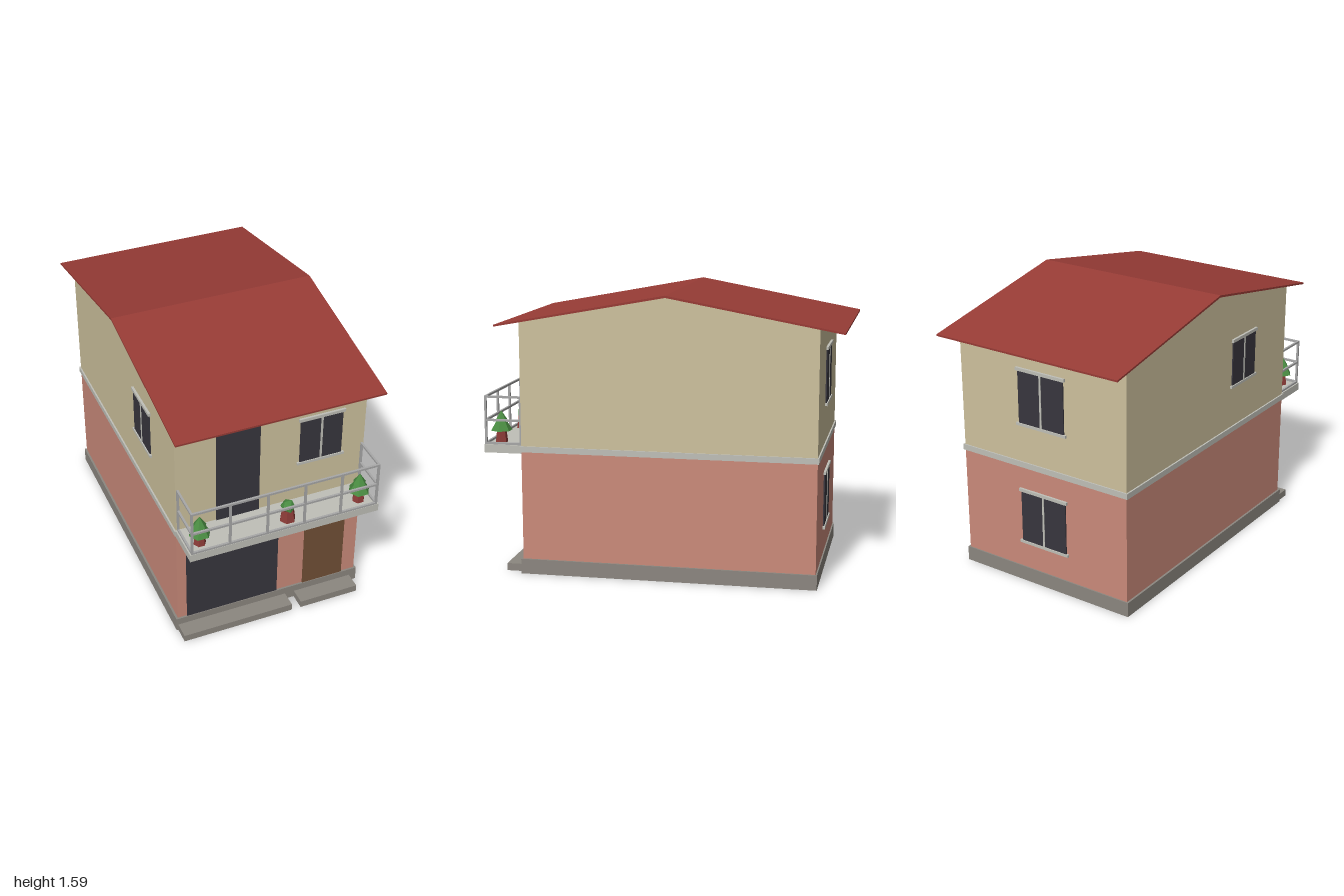
import * as THREE from 'three';

const mat = (name, color) => {
  const m = new THREE.MeshStandardMaterial({ color });
  m.name = name;
  return m;
};

export function createModel() {
  const house = new THREE.Group();
  house.name = 'house';

  const salmon = mat('salmon wall', 0xcb8b7b);
  const cream = mat('cream wall', 0xcec29e);
  const roofRed = mat('roof red', 0x983c36);
  const trim = mat('pale trim', 0xc0c0b8);
  const stone = mat('stone grey', 0x8c8780);
  const glass = mat('dark glass', 0x38363e);
  const wood = mat('door wood', 0x725036);
  const leaf = mat('leaf green', 0x4a8c42);
  const clay = mat('clay pot', 0x8e3c38);
  const metal = mat('rail metal', 0xa8a8a8);
  leaf.flatShading = clay.flatShading = true;

  const add = (parent, name, geo, material, x = 0, y = 0, z = 0) => {
    const m = new THREE.Mesh(geo, material);
    m.name = name;
    m.position.set(x, y, z);
    parent.add(m);
    return m;
  };
  // Box given by its lower and upper corner
  const box = (parent, name, material, [x0, y0, z0], [x1, y1, z1]) =>
    add(parent, name, new THREE.BoxGeometry(x1 - x0, y1 - y0, z1 - z0), material,
      (x0 + x1) / 2, (y0 + y1) / 2, (z0 + z1) / 2);
  // Outline in (z, y), extruded across the width
  const across = (name, points, width, material) => {
    const shape = new THREE.Shape(points.map(([z, y]) => new THREE.Vector2(z, y)));
    const geo = new THREE.ExtrudeGeometry(shape, { depth: width, bevelEnabled: false });
    geo.translate(0, 0, -width / 2).rotateY(-Math.PI / 2);
    return add(house, name, geo, material);
  };

  // Foundation, storeys and floor band
  box(house, 'foundation', stone, [-0.56, 0, -0.872], [0.56, 0.085, 0.797]);
  box(house, 'garageStep', stone, [-0.55, 0, 0.797], [0.107, 0.042, 0.893]);
  box(house, 'doorStep', stone, [0.163, 0, 0.797], [0.517, 0.042, 0.893]);
  box(house, 'lowerStorey', salmon, [-0.548, 0.085, -0.864], [0.548, 0.7, 0.786]);
  box(house, 'floorBand', trim, [-0.557, 0.7, -0.872], [0.557, 0.733, 0.794]);
  across('upperStorey',
    [[0.786, 0.733], [0.786, 1.43], [-0.04, 1.58], [-0.864, 1.43], [-0.864, 0.733]], 1.096, cream);

  // Gabled roof sheet
  across('roof',
    [[0.918, 1.403], [0.918, 1.413], [-0.04, 1.59], [-1, 1.413], [-1, 1.403], [-0.04, 1.578]],
    1.18, roofRed);

  // Opening facing +z: pane with lintel, optionally a sill and mullion
  const opening = (name, w, h, material, isWindow, x, y, z, turn = 0) => {
    const g = new THREE.Group();
    g.name = name;
    box(g, 'pane', material, [-w / 2, 0, 0], [w / 2, h, 0.007]);
    box(g, 'lintel', trim, [-w / 2 - 0.011, h - 0.002, 0], [w / 2 + 0.011, h + 0.016, 0.013]);
    if (isWindow) {
      box(g, 'sill', trim, [-w / 2 - 0.015, -0.012, 0], [w / 2 + 0.015, 0.003, 0.013]);
      box(g, 'mullion', trim, [-0.006, 0, 0], [0.006, h, 0.01]);
    }
    g.position.set(x, y, z);
    g.rotation.y = turn;
    house.add(g);
  };
  const front = 0.786, back = -0.864;
  opening('garageDoor', 0.547, 0.522, glass, false, -0.22, 0.085, front);
  opening('frontDoor', 0.248, 0.495, wood, false, 0.34, 0.085, front);
  opening('balconyDoor', 0.247, 0.587, glass, false, -0.193, 0.735, front);
  opening('frontWindow', 0.247, 0.275, glass, true, 0.286, 0.986, front);
  opening('upperBackWindow', 0.3, 0.305, glass, true, 0, 0.96, back, Math.PI);
  opening('lowerBackWindow', 0.3, 0.305, glass, true, 0, 0.25, back, Math.PI);
  opening('rightSideWindow', 0.247, 0.265, glass, true, -0.548, 0.986, 0.3, -Math.PI / 2);

  // Balcony slab and railing
  box(house, 'balconySlab', trim, [-0.55, 0.69, 0.786], [0.55, 0.736, 1]);
  const railing = new THREE.Group();
  railing.name = 'balconyRailing';
  house.add(railing);
  const r = 0.006, rx = 0.536, rz = 0.992;
  for (const y of [0.742, 0.873, 1.005]) {
    box(railing, 'frontRail', metal, [-rx - r, y - r, rz - r], [rx + r, y + r, rz + r]);
    for (const x of [-rx, rx])
      box(railing, 'sideRail', metal, [x - r, y - r, 0.786], [x + r, y + r, rz - r]);
  }
  for (let i = 0; i < 6; i++) {
    const x = -rx + (2 * rx * i) / 5;
    box(railing, 'post', metal, [x - r, 0.736, rz - r], [x + r, 1.005, rz + r]);
  }
  for (const x of [-rx, rx])
    box(railing, 'wallPost', metal, [x - r, 0.736, 0.786], [x + r, 1.005, 0.797]);

  // Potted plants
  const hex = (rTop, rBottom, h) =>
    new THREE.CylinderGeometry(rTop, rBottom, h, 6).rotateY(Math.PI / 6);
  const plant = (name, x, potRadius) => {
    const g = new THREE.Group();
    g.name = name;
    g.position.set(x, 0.736, 0.925);
    house.add(g);
    add(g, 'pot', hex(potRadius * 0.75, potRadius, 0.075), clay, 0, 0.0375, 0);
    return g;
  };
  for (const [name, x] of [['leftTree', 0.464], ['rightTree', -0.467]]) {
    const g = plant(name, x, 0.035);
    add(g, 'lowerFoliage', hex(0.022, 0.061, 0.065), leaf, 0, 0.1, 0);
    add(g, 'upperFoliage', hex(0, 0.038, 0.06), leaf, 0, 0.15, 0);
  }
  const bush = plant('bush', 0.04, 0.045);
  add(bush, 'foliage', new THREE.IcosahedronGeometry(0.041, 0), leaf, 0, 0.089, 0);

  return house;
}
